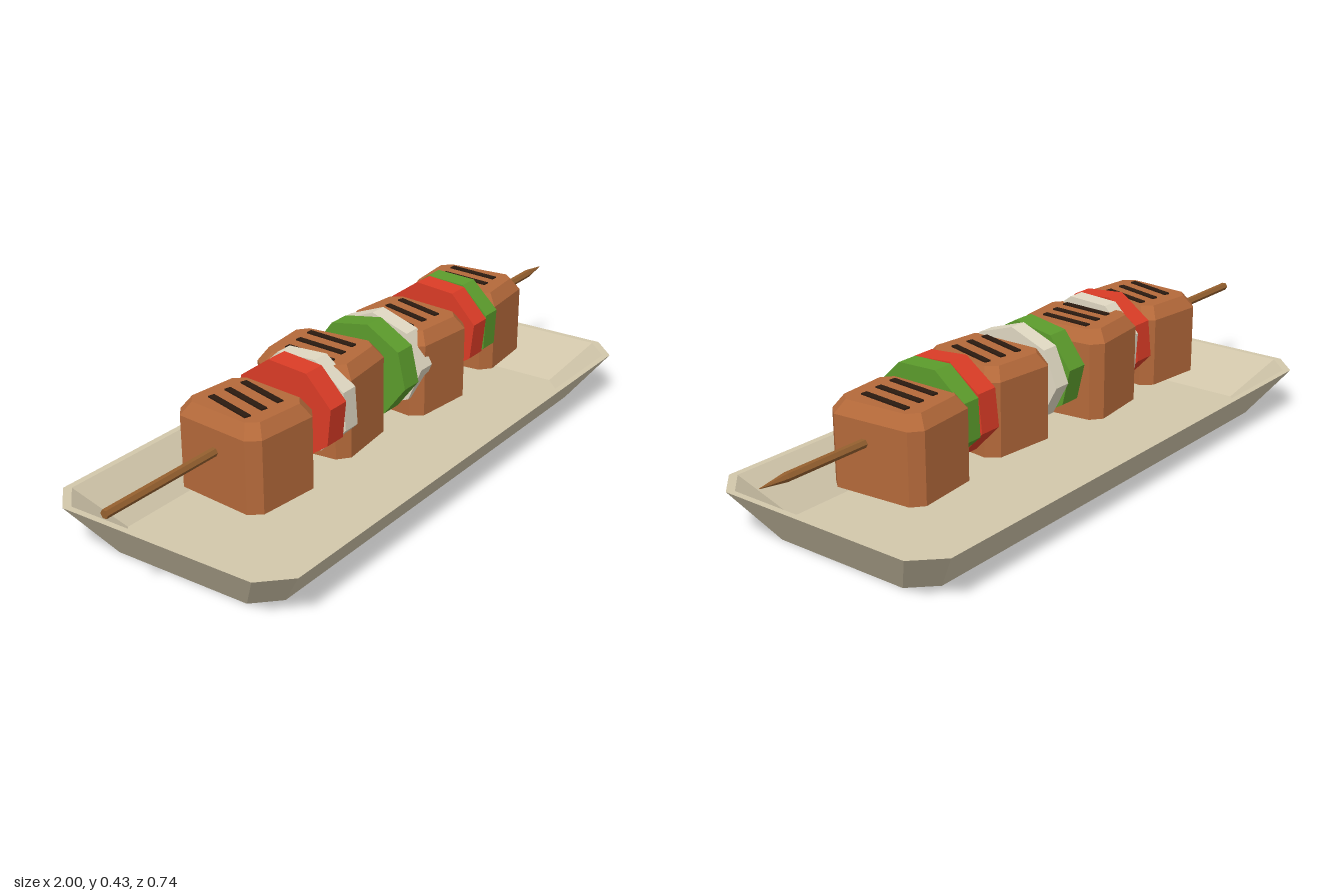
import * as THREE from 'three';

const mat = (name, color) => {
  const m = new THREE.MeshStandardMaterial({ color, flatShading: true });
  m.name = name;
  return m;
};

// Rectangle with cut corners at height y
const octagon = (hx, hz, cut, y) => [
  [hx, -hz + cut], [hx, hz - cut], [hx - cut, hz], [-hx + cut, hz],
  [-hx, hz - cut], [-hx, -hz + cut], [-hx + cut, -hz], [hx - cut, -hz],
].map(([x, z]) => new THREE.Vector3(x, y, z));

// Faceted solid through a list of rings, capped at both ends
function loft(rings) {
  const pts = [];
  const n = rings[0].length;
  for (let r = 0; r < rings.length - 1; r++) {
    for (let i = 0; i < n; i++) {
      const j = (i + 1) % n, a = rings[r], b = rings[r + 1];
      pts.push(a[i], b[i], a[j], a[j], b[i], b[j]);
    }
  }
  const first = rings[0], last = rings[rings.length - 1];
  for (let i = 1; i < n - 1; i++) {
    pts.push(first[0], first[i], first[i + 1], last[0], last[i + 1], last[i]);
  }
  const g = new THREE.BufferGeometry().setFromPoints(pts);
  g.computeVertexNormals();
  return g;
}

export function createModel() {
  const model = new THREE.Group();
  model.name = 'skewerOnTray';
  const mats = {
    tray: mat('trayCream', 0xd2c7ab),
    meat: mat('meatBrown', 0xb4693a),
    char: mat('charBlack', 0x2a1a10),
    wood: mat('skewerWood', 0x95602f),
    red: mat('pepperRed', 0xdb3c26),
    green: mat('pepperGreen', 0x5c9c2c),
    onion: mat('onionWhite', 0xe0d8c2),
  };
  const add = (parent, name, geo, material) => {
    const m = new THREE.Mesh(geo, material);
    m.name = name;
    parent.add(m);
    return m;
  };

  // Tray: outer wall, rim, sloping inner wall and floor
  add(model, 'tray', loft([
    octagon(0.765, 0.27, 0.065, 0),
    octagon(0.855, 0.372, 0.075, 0.137),
    octagon(0.837, 0.354, 0.07, 0.137),
    octagon(0.745, 0.25, 0.06, 0.02),
  ]), mats.tray);

  // Skewer stick with a pointed end
  const axisY = 0.282;
  const stick = new THREE.CylinderGeometry(0.012, 0.012, 1.92, 6).rotateZ(-Math.PI / 2);
  add(model, 'skewerStick', stick, mats.wood).position.set(-0.04, axisY, 0);
  const tip = new THREE.CylinderGeometry(0.001, 0.012, 0.08, 6).rotateZ(-Math.PI / 2);
  add(model, 'skewerTip', tip, mats.wood).position.set(0.96, axisY, 0);

  // Meat chunks: x, z, top height, turn
  const bottom = 0.145;
  [
    [-0.505, 0.005, 0.378, -0.1],
    [-0.168, -0.016, 0.398, 0.11],
    [0.185, 0.018, 0.386, -0.1],
    [0.548, -0.01, 0.374, 0.09],
  ].forEach(([x, z, top, turn]) => {
    const chunk = new THREE.Group();
    chunk.name = 'meatChunk';
    chunk.position.set(x, 0, z);
    chunk.rotation.y = turn;
    model.add(chunk);
    add(chunk, 'meat', loft([
      octagon(0.118, 0.141, 0.03, bottom),
      octagon(0.118, 0.141, 0.03, top - 0.035),
      octagon(0.095, 0.117, 0.026, top),
    ]), mats.meat);
    // Grill marks
    for (const i of [-1, 0, 1]) {
      const mark = add(chunk, 'grillMark', new THREE.BoxGeometry(0.018, 0.008, 0.155), mats.char);
      mark.position.set(i * 0.056, top, 0);
      mark.rotation.y = -0.17;
    }
  });

  // Vegetable slices: name, material, x, thickness, roll in degrees
  [
    ['redPepper', mats.red, -0.325, 0.066, 17],
    ['onion', mats.onion, -0.266, 0.052, 26],
    ['greenPepper', mats.green, 0.004, 0.066, 34],
    ['onion', mats.onion, 0.073, 0.052, 2],
    ['redPepper', mats.red, 0.363, 0.066, 17],
    ['greenPepper', mats.green, 0.43, 0.06, 20],
  ].forEach(([name, material, x, thick, roll]) => {
    const slice = new THREE.CylinderGeometry(1, 1, thick, 8)
      .rotateZ(Math.PI / 2)
      .rotateX(-THREE.MathUtils.degToRad(roll))
      .scale(1, 0.136, 0.156);
    add(model, name, slice, material).position.set(x, 0.292, 0.006);
  });

  return model;
}
